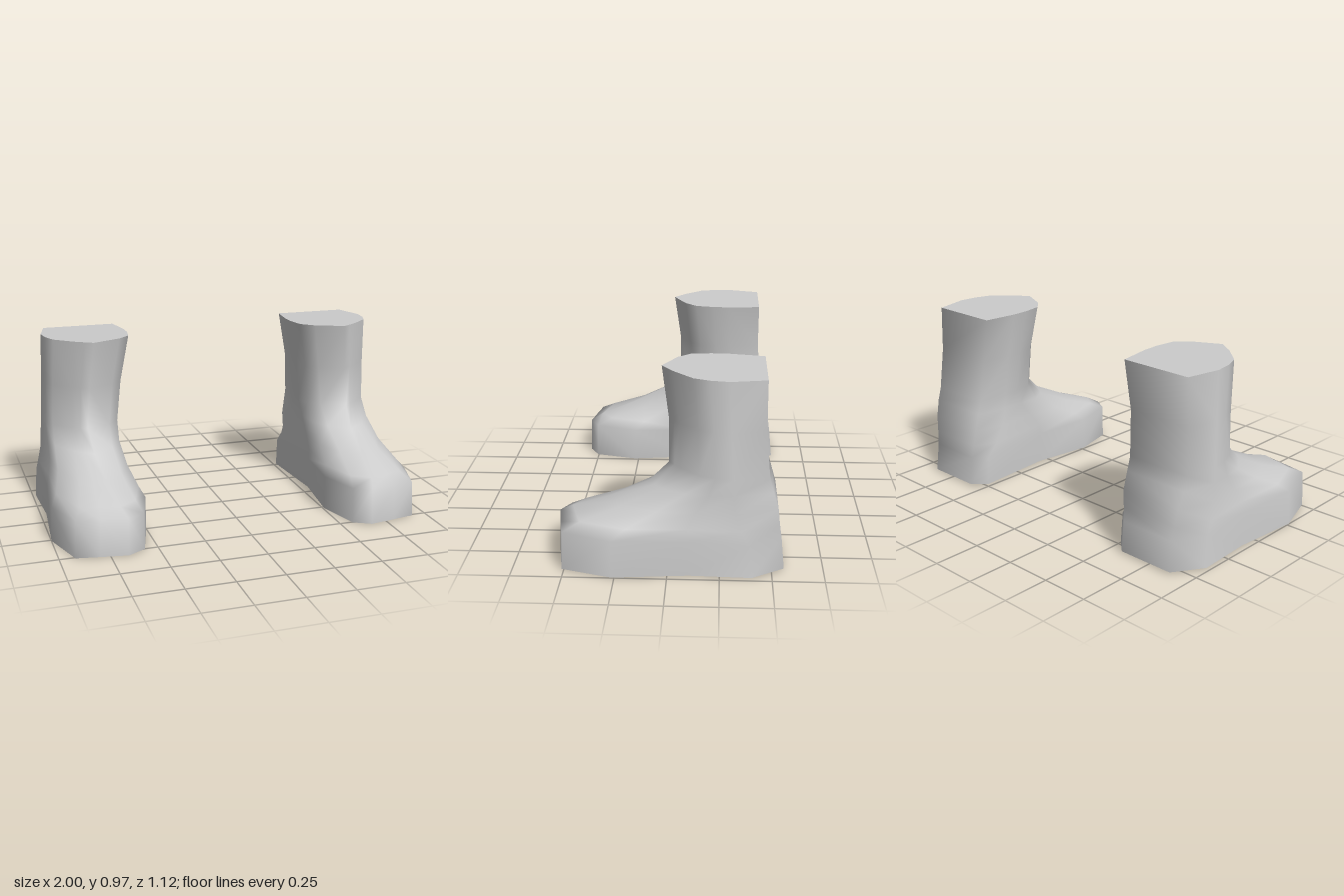
import * as THREE from 'three';

const leather = new THREE.MeshStandardMaterial({ color: 0xcccccc });
leather.name = 'light grey';

// Outlines in a unit box: x from -1 (inner) to 1 (outer), z from 0 (back) to 1 (front)
const SOLE = [[-0.70, 0], [0.54, 0], [0.94, 0.14], [0.88, 0.41], [1, 0.74], [0.68, 0.96],
  [0.19, 0.98], [-0.37, 1], [-0.74, 0.955], [-1, 0.745], [-0.84, 0.45], [-0.98, 0.06]];
const SHAFT = [[-0.89, 0], [0.82, 0], [1, 0.35], [0.95, 0.53], [0.82, 0.69], [0.38, 0.88],
  [0.19, 0.94], [0, 1], [-0.65, 0.86], [-0.93, 0.73], [-1, 0.53], [-1, 0.35]];

// Rings: blend sole to shaft, front taper, inner x, outer x, back z, front z, back y, front y
const RINGS = [
  [0, 0, 0.505, 1.0, -0.56, 0.555, 0.012, 0.003],
  [0, 0, 0.505, 0.99, -0.545, 0.55, 0.17, 0.195],
  [0.2, 0.12, 0.505, 0.985, -0.535, 0.48, 0.24, 0.235],
  [0.5, 0.22, 0.51, 0.975, -0.525, 0.30, 0.33, 0.30],
  [0.8, 0.18, 0.525, 0.965, -0.5, 0.10, 0.42, 0.395],
  [1, 0.06, 0.535, 0.95, -0.48, 0, 0.49, 0.5],
  [1, 0, 0.52, 0.935, -0.46, 0, 0.72, 0.72],
  [1, 0, 0.475, 0.928, -0.46, 0.035, 0.962, 0.97],
];

function ringPoints([blend, taper, x0, x1, z0, z1, yBack, yFront], side) {
  return SOLE.map(([su, sv], j) => {
    const [tu, tv] = SHAFT[j];
    const v = THREE.MathUtils.lerp(sv, tv, blend);
    const u = THREE.MathUtils.lerp(su, tu, blend) * (1 - taper * v);
    return new THREE.Vector3(
      side * ((x0 + x1) / 2 + u * (x1 - x0) / 2),
      THREE.MathUtils.lerp(yBack, yFront, v),
      THREE.MathUtils.lerp(z0, z1, v));
  });
}

function makeMesh(name, points, index, side) {
  // Mirrored parts need their corners in the opposite order
  if (side < 0) {
    for (let i = 0; i < index.length; i += 3) {
      [index[i], index[i + 1]] = [index[i + 1], index[i]];
    }
  }
  const geometry = new THREE.BufferGeometry().setFromPoints(points);
  geometry.setIndex(index);
  geometry.computeVertexNormals();
  const mesh = new THREE.Mesh(geometry, leather);
  mesh.name = name;
  return mesh;
}

// Flat fan closing a ring
function makeCap(name, ring, up, side) {
  const n = ring.length;
  const centre = new THREE.Vector3();
  ring.forEach(p => centre.addScaledVector(p, 1 / n));
  const index = [];
  for (let j = 0; j < n; j++) {
    const k = (j + 1) % n;
    index.push(n, ...(up ? [k, j] : [j, k]));
  }
  return makeMesh(name, [...ring, centre], index, side);
}

function makeBoot(name, side) {
  const boot = new THREE.Group();
  boot.name = name;
  const rings = RINGS.map(r => ringPoints(r, side));
  const n = SOLE.length;

  // Smooth upper lofted from sole to shaft rim
  const index = [];
  for (let i = 0; i < rings.length - 1; i++) {
    for (let j = 0; j < n; j++) {
      const a = i * n + j;
      const b = i * n + (j + 1) % n;
      index.push(a, a + n, b, b, a + n, b + n);
    }
  }
  boot.add(makeMesh('upper', rings.flat(), index, side));

  // Flat underside and closed top
  boot.add(makeCap('sole', rings[0], false, side));
  boot.add(makeCap('shaftTop', rings[rings.length - 1], true, side));
  return boot;
}

export function createModel() {
  const model = new THREE.Group();
  model.name = 'pairOfBoots';
  model.add(makeBoot('leftBoot', 1), makeBoot('rightBoot', -1));
  return model;
}
